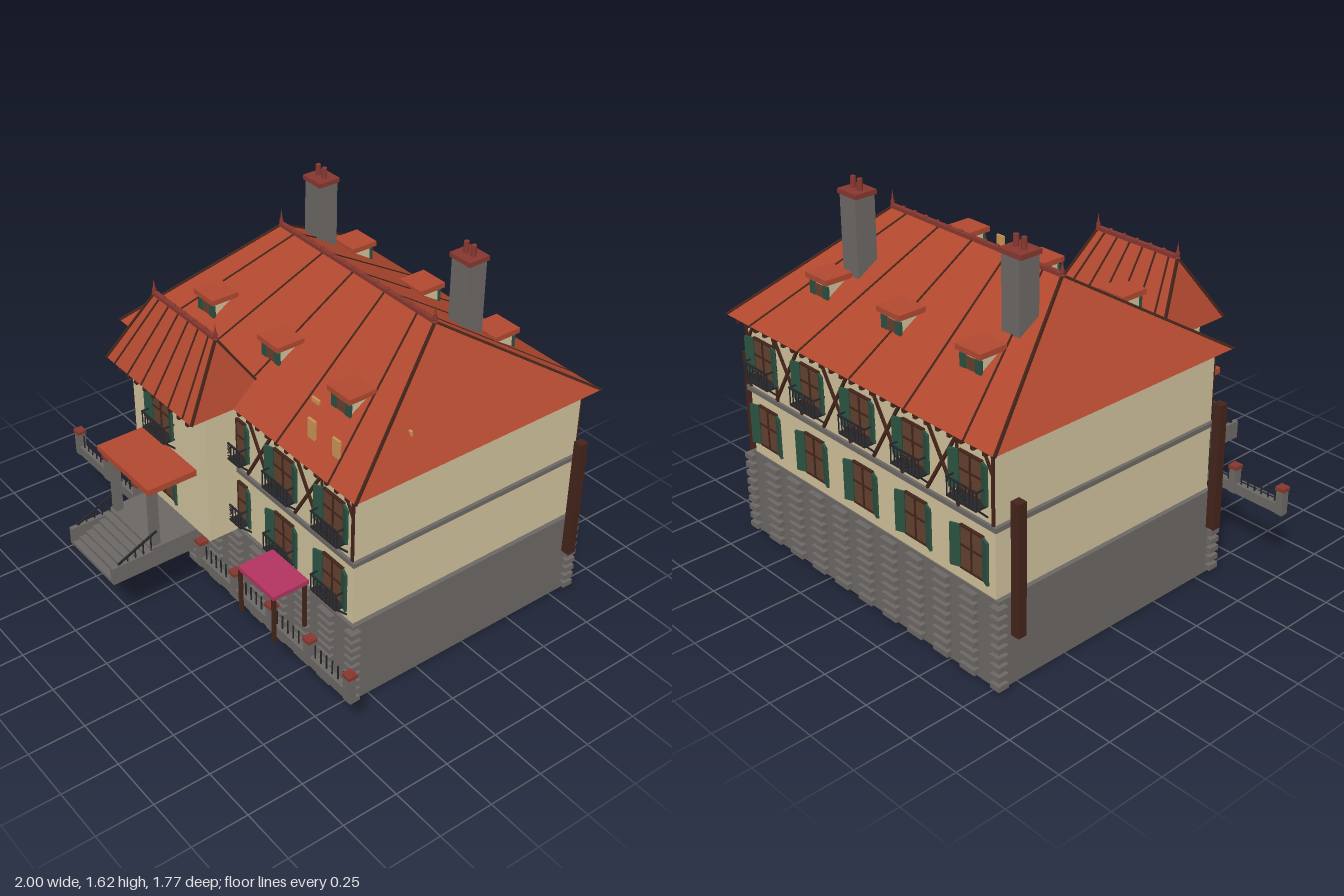
import * as THREE from 'three';

export function createModel() {
  const root = new THREE.Group();
  root.name = 'house';
  const mat = (name, color) => {
    const m = new THREE.MeshStandardMaterial({ color });
    m.name = name;
    return m;
  };
  const roofRed = mat('roofTile', 0xb0482f), plaster = mat('plaster', 0xcfc19b), stone = mat('stone', 0x6b6764);
  const green = mat('shutterGreen', 0x2a5040), wood = mat('windowWood', 0x63402f), timber = mat('timber', 0x43241a);
  const iron = mat('iron', 0x26262a), pink = mat('canopyPink', 0xb23462), plank = mat('plankWood', 0xcb9455);
  const brick = mat('brick', 0x86372f);

  const group = (name, parent = root) => {
    const g = new THREE.Group();
    g.name = name;
    parent.add(g);
    return g;
  };
  const add = (name, geo, m, x, y, z, parent) => {
    const o = new THREE.Mesh(geo, m);
    o.name = name;
    o.position.set(x, y, z);
    parent.add(o);
    return o;
  };
  // Box given by its extents on each axis
  const box = (name, m, x0, x1, y0, y1, z0, z1, parent = root) =>
    add(name, new THREE.BoxGeometry(x1 - x0, y1 - y0, z1 - z0), m, (x0 + x1) / 2, (y0 + y1) / 2, (z0 + z1) / 2, parent);
  // Square bar running between two points
  const beam = (name, m, a, b, w, parent = root) => {
    const p = new THREE.Vector3(...a), q = new THREE.Vector3(...b), d = q.clone().sub(p);
    const c = p.clone().add(q).multiplyScalar(0.5);
    const o = add(name, new THREE.BoxGeometry(w, d.length(), w), m, c.x, c.y, c.z, parent);
    o.quaternion.setFromUnitVectors(new THREE.Vector3(0, 1, 0), d.normalize());
    return o;
  };

  // Stone basement with courses of projecting blocks
  box('basement', stone, -0.77, 0.77, 0, 0.39, -0.838, 0.335);
  const blocks = group('stoneBlocks');
  for (let r = 0; r < 9; r++)
    for (let c = 0; c < 11; c++)
      for (const z of [0.335, -0.838]) {
        const x = -0.77 + c * 0.154, w = c % 10 === 0 ? 0.025 : 0.042, y = 0.015 + r * 0.042;
        box('block', stone, x - w, x + w, y, y + 0.024, z - 0.025, z + 0.025, blocks);
      }

  // Main walls, projecting bay and belt course
  box('mainWalls', plaster, -0.75, 0.75, 0.39, 1.018, -0.833, 0.32);
  box('bayWalls', plaster, -0.54, 0, 0.385, 1.018, 0.3, 0.473);
  box('beltCourse', stone, -0.765, 0.765, 0.68, 0.7, -0.845, 0.333);
  box('eavePlate', timber, -0.757, 0.757, 1.0, 1.014, -0.84, 0.327);

  // Hipped roof with seams, ridge cresting and finials
  function hipRoof(name, x0, x1, zc, d, y0, y1, r0, r1, seams, finial) {
    const g = group(name);
    const A = [x0, y0, zc + d], B = [x1, y0, zc + d], C = [x1, y0, zc - d], D = [x0, y0, zc - d];
    const E = [r0, y1, zc], F = [r1, y1, zc];
    const tris = [A, B, F, A, F, E, C, D, E, C, E, F, B, C, F, D, A, E, A, D, C, A, C, B];
    const geo = new THREE.BufferGeometry();
    geo.setAttribute('position', new THREE.Float32BufferAttribute(tris.flat(), 3));
    geo.computeVertexNormals();
    add('roofSlopes', geo, roofRed, 0, 0, 0, g);
    for (const [p, q] of [[A, E], [D, E], [B, F], [C, F]]) beam('hipTrim', timber, p, q, 0.01, g);
    for (const t of seams)
      for (const s of [1, -1])
        beam('seam', timber, [x0 + t * (x1 - x0), y0, zc + s * d], [r0 + t * (r1 - r0), y1, zc], 0.007, g);
    box('ridgeCap', brick, r0, r1, y1 - 0.004, y1 + 0.012, zc - 0.01, zc + 0.01, g);
    const n = Math.round((r1 - r0) / 0.07);
    for (let i = 0; i <= n; i++)
      add('ridgeKnob', new THREE.SphereGeometry(0.009, 8, 6), brick, r0 + (i / n) * (r1 - r0), y1 + 0.013, zc, g);
    for (const x of [r0, r1]) {
      const pts = [[0.012, 0], [0.006, 0.012], [0.01, 0.02], [0.005, 0.032], [0, finial]].map(p => new THREE.Vector2(...p));
      add('finial', new THREE.LatheGeometry(pts, 8), brick, x, y1, zc, g);
    }
  }
  hipRoof('mainRoof', -0.805, 0.805, -0.26, 0.625, 1.02, 1.41, -0.49, 0.49, [0.1, 0.3, 0.5, 0.7, 0.9], 0.075);
  hipRoof('bayRoof', -0.585, 0.04, 0.375, 0.188, 1.02, 1.3, -0.49, -0.055, [0.1, 0.26, 0.42, 0.58, 0.74, 0.9], 0.07);

  // Rafter ends under the eaves
  const rafters = group('rafterEnds');
  for (let i = 0; i < 25; i++) {
    const x = -0.744 + i * 0.062;
    box('rafter', timber, x - 0.008, x + 0.008, 0.998, 1.014, -0.88, -0.835, rafters);
    if (x < -0.54 || x > 0) box('rafter', timber, x - 0.008, x + 0.008, 0.998, 1.014, 0.32, 0.36, rafters);
    else box('rafter', timber, x - 0.008, x + 0.008, 0.998, 1.014, 0.473, 0.56, rafters);
  }

  // Window with shutters and glazing bars
  function windowUnit(parent, x, y, h, z) {
    const g = group('window', parent);
    g.position.set(x, y, z);
    box('pane', wood, -0.06, 0.06, -h / 2, h / 2, -0.005, 0.008, g);
    box('mullion', timber, -0.004, 0.004, -h / 2, h / 2, 0, 0.012, g);
    for (const s of [-1, 0.1, 1]) box('glazingBar', timber, -0.062, 0.062, s * h / 2 - 0.004, s * h / 2 + 0.004, 0, 0.012, g);
    for (const s of [-1, 1]) {
      const sh = box('shutter', green, -0.022, 0.022, -h / 2, h / 2, -0.005, 0.005, g);
      sh.position.set(s * 0.082, 0, 0.015);
      sh.rotation.y = -s * 0.35;
    }
  }
  // Iron window balcony on diagonal brackets
  function balcony(parent, x, y, z) {
    const g = group('balcony', parent);
    g.position.set(x, y, z);
    const w = 0.08, d = 0.055, h = 0.075;
    box('balconyFloor', iron, -w, w, -0.004, 0.004, 0, d, g);
    box('frontRail', iron, -w, w, h - 0.004, h + 0.003, d - 0.007, d, g);
    for (const s of [-1, 1]) {
      beam('sideRail', iron, [s * w, h, 0], [s * w, h, d], 0.006, g);
      beam('bracket', iron, [s * w, -0.045, 0], [s * w, 0, d - 0.01], 0.007, g);
    }
    for (let i = 0; i < 9; i++) {
      const bx = -w + i * w / 4;
      if (i !== 4) beam('baluster', iron, [bx, 0, d - 0.004], [bx, h, d - 0.004], 0.004, g);
    }
    for (const r of [0.024, 0.011])
      add('ornament', new THREE.TorusGeometry(r, 0.003, 4, 12), iron, 0, h / 2, d - 0.003, g);
  }
  // Front and back facades; the bay carries the second front column
  function facade(name, z, front) {
    const g = group(name);
    g.position.z = z;
    if (!front) g.rotation.y = Math.PI;
    for (let i = -2; i <= 2; i++) {
      const x = i * 0.315, wz = front && i === -1 ? 0.153 : 0;
      windowUnit(g, x, 0.86, 0.16, wz);
      windowUnit(g, x, 0.54, 0.18, wz);
      balcony(g, x, 0.765, wz);
      if (front && i !== -1) balcony(g, x, 0.455, 0);
    }
    for (const x of [-0.4725, -0.1575, 0.1575, 0.4725]) {
      if (front && x < 0) continue;
      for (const s of [-1, 1]) beam('crossBrace', timber, [x - s * 0.088, 0.705, 0.003], [x + s * 0.088, 1.0, 0.003], 0.012, g);
    }
    for (const s of [-1, 1]) {
      box('cornerPost', timber, s * 0.744 - 0.006, s * 0.744 + 0.006, 0.7, 1.0, 0, 0.008, g);
      beam('cornerBrace', timber, [s * 0.745, 0.9, 0.003], [s * 0.69, 1.0, 0.003], 0.01, g);
      beam('innerBrace', timber, [s * 0.555, 0.7, 0.003], [s * 0.555, 1.0, 0.003], 0.01, g);
    }
    box('topBeam', timber, -0.75, 0.75, 0.982, 0.998, 0, 0.008, g);
  }
  facade('frontFacade', 0.32, true);
  facade('backFacade', -0.833, false);

  // Dormers on both slopes
  for (const x of [-0.45, 0, 0.45])
    for (const s of [1, -1]) {
      const g = group('dormer');
      g.position.set(x, 0, -0.26);
      if (s < 0) g.rotation.y = Math.PI;
      box('dormerBody', plaster, -0.05, 0.05, 1.13, 1.22, 0.22, 0.41, g);
      box('dormerRoof', roofRed, -0.068, 0.068, 1.217, 1.24, 0.3, 0.43, g);
      box('dormerPane', wood, -0.025, 0.025, 1.15, 1.2, 0.405, 0.416, g);
      for (const t of [-1, 1])
        box('dormerShutter', green, t * 0.042 - 0.016, t * 0.042 + 0.016, 1.148, 1.205, 0.408, 0.418, g);
    }

  // Chimneys with caps and paired pots
  for (const [x, z] of [[-0.485, -0.465], [0.39, -0.512]]) {
    const g = group('chimney');
    box('chimneyStack', stone, x - 0.048, x + 0.048, 1.15, 1.56, z - 0.048, z + 0.048, g);
    box('chimneyCap', brick, x - 0.058, x + 0.058, 1.555, 1.575, z - 0.052, z + 0.052, g);
    for (const s of [-1, 1])
      add('chimneyPot', new THREE.CylinderGeometry(0.011, 0.012, 0.05, 10), brick, x + s * 0.021, 1.597, z, g);
  }

  // Loose planks on the front slope
  const planks = group('roofPlanks');
  box('plank', plank, 0.412, 0.457, 1.07, 1.155, 0.275, 0.285, planks);
  box('plank', plank, 0.563, 0.605, 1.065, 1.15, 0.275, 0.285, planks);
  box('plank', plank, 0.305, 0.35, 1.13, 1.152, 0.175, 0.185, planks);
  box('plank', plank, 0.67, 0.715, 1.13, 1.152, 0.025, 0.035, planks);

  // Tall corner posts
  for (const [x, z] of [[0.82, -0.786], [-0.82, -0.786], [-0.82, 0.285]])
    box('cornerPole', timber, x - 0.02, x + 0.02, 0.25, 0.815, z - 0.02, z + 0.02);

  // Porch, columns and front steps
  const porch = group('porch');
  box('porchRoof', roofRed, -0.47, -0.08, 0.675, 0.702, 0.465, 0.705, porch);
  box('porchFloor', stone, -0.445, -0.1, 0.29, 0.385, 0.473, 0.69, porch);
  for (const x of [-0.418, -0.13]) {
    box('porchColumn', stone, x - 0.017, x + 0.017, 0.38, 0.678, 0.643, 0.677, porch);
    const rx = x < -0.3 ? -0.435 : -0.11;
    box('stairCheek', stone, rx - 0.01, rx + 0.01, 0.29, 0.372, 0.69, 0.882, porch);
    beam('handrail', iron, [rx, 0.46, 0.66], [rx, 0.375, 0.85], 0.008, porch);
    for (let i = 0; i < 5; i++)
      beam('railPost', iron, [rx, 0.36, 0.69 + i * 0.038], [rx, 0.447 - i * 0.017, 0.69 + i * 0.038], 0.005, porch);
  }
  for (let i = 0; i < 6; i++)
    box('step', stone, -0.427, -0.118, 0.29, 0.372 - i * 0.0135, 0.69 + i * 0.032, 0.722 + i * 0.032, porch);

  // Garden wall with capped piers and iron pickets
  const fence = group('gardenFence');
  for (const [a, b] of [[-0.98, -0.49], [0, 0.98]]) {
    box('lowWall', stone, a, b, 0.29, 0.335, 0.502, 0.53, fence);
    for (let x = a; x <= b + 0.01; x += 0.245) {
      box('pier', stone, x - 0.017, x + 0.017, 0.29, 0.4, 0.498, 0.534, fence);
      box('pierCap', brick, x - 0.021, x + 0.021, 0.4, 0.416, 0.495, 0.537, fence);
    }
    for (let x = a + 0.035; x < b - 0.01; x += 0.035)
      beam('picket', iron, [x, 0.33, 0.516], [x, 0.4, 0.516], 0.005, fence);
  }

  // Garden canopy on four poles
  const canopy = group('canopy');
  box('canopyTop', pink, 0.33, 0.565, 0.5, 0.52, 0.392, 0.562, canopy);
  for (const x of [0.337, 0.558])
    for (const z of [0.408, 0.555])
      box('canopyPole', timber, x - 0.007, x + 0.007, 0.29, 0.502, z - 0.007, z + 0.007, canopy);

  return root;
}
